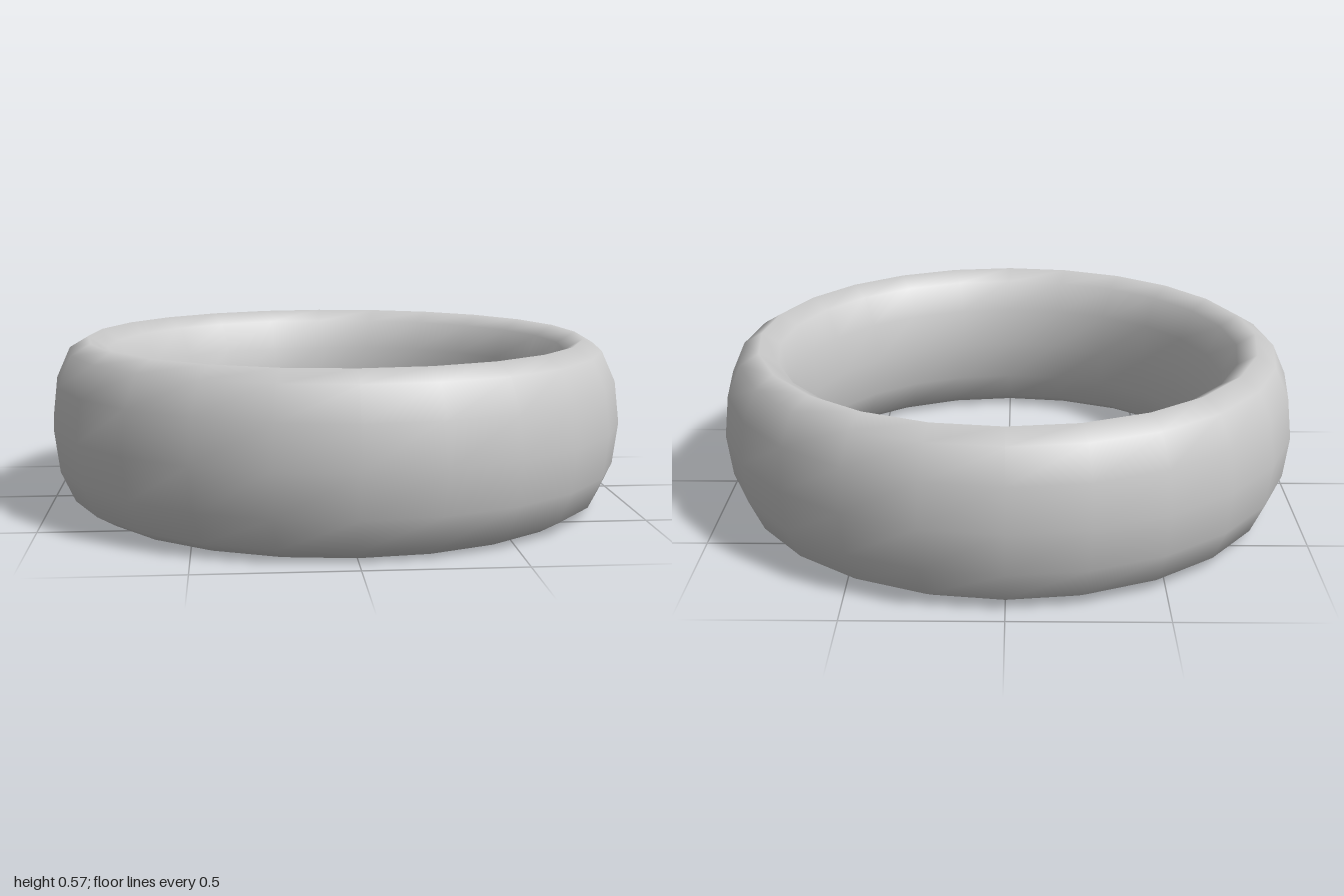
import * as THREE from 'three';

export function createModel() {
  const group = new THREE.Group();
  group.name = 'ring';

  // Band: a torus laid flat and stretched upward to an oval section
  const ringRadius = 0.87, tubeRadius = 0.13, height = 0.575;
  const geometry = new THREE.TorusGeometry(ringRadius, tubeRadius, 12, 24);
  geometry.rotateX(-Math.PI / 2);
  geometry.scale(1, height / (2 * tubeRadius), 1);
  geometry.translate(0, height / 2, 0);

  const band = new THREE.Mesh(geometry, new THREE.MeshStandardMaterial({ color: 0xcccccc }));
  band.name = 'band';
  group.add(band);
  return group;
}
